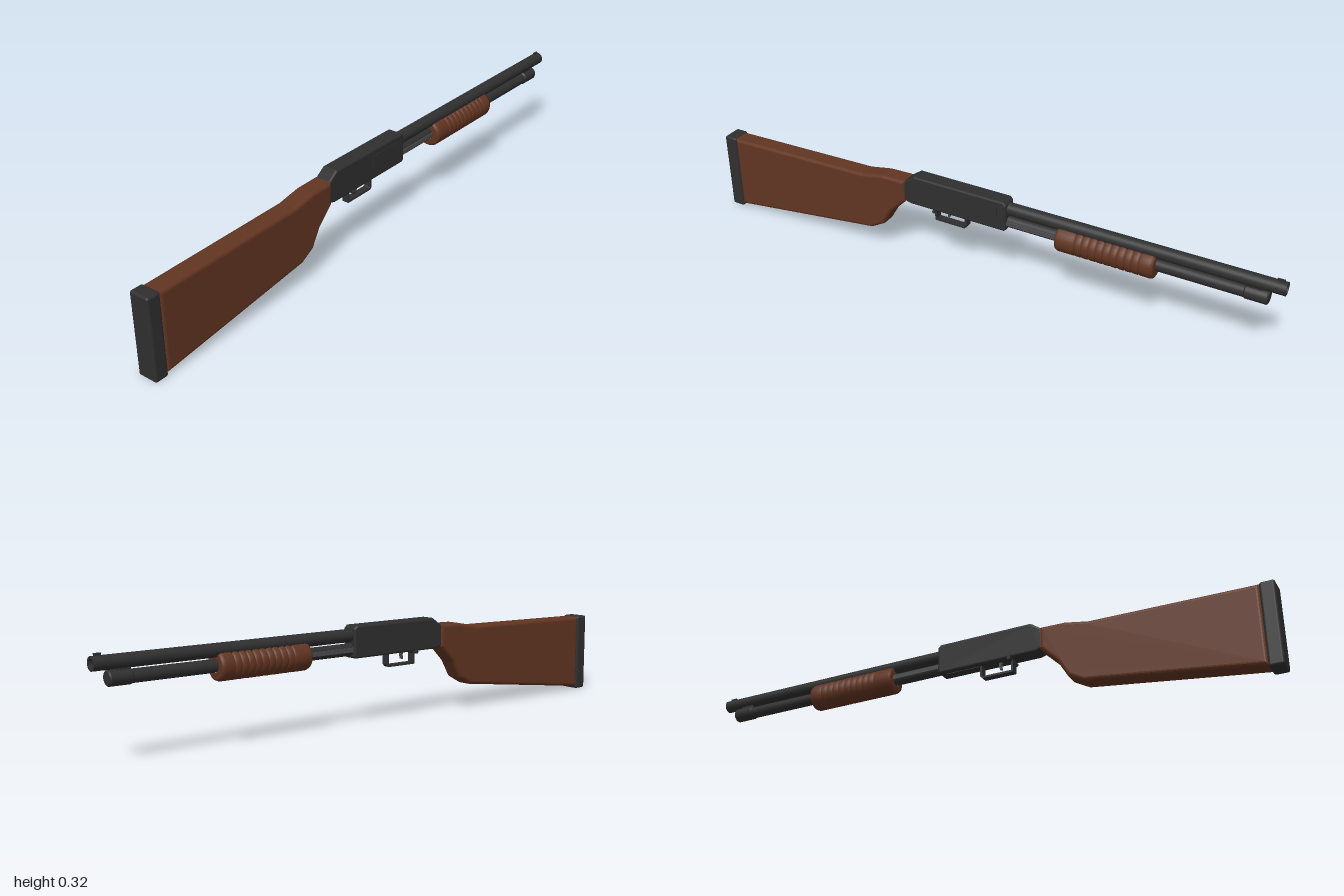
import * as THREE from 'three';
import { RoundedBoxGeometry } from 'three/addons/geometries/RoundedBoxGeometry.js';

export function createModel() {
  const root = new THREE.Group();
  const mat = (name, color) => Object.assign(new THREE.MeshStandardMaterial({ color }), { name });
  const steel = mat('dark steel', 0x2f2f30);
  const wood = mat('brown wood', 0x613421);
  const grey = mat('grey metal', 0x4c4c4e);

  const add = (name, geo, material, x = 0, y = 0, z = 0) => {
    const m = new THREE.Mesh(geo, material);
    m.name = name;
    m.position.set(x, y, z);
    root.add(m);
    return m;
  };

  // Side outline of [z, y] points, extruded across x with rounded edges
  const slab = (points, width, bevel, hole) => {
    const shape = new THREE.Shape(points.map(p => new THREE.Vector2(...p)));
    if (hole) shape.holes.push(new THREE.Path(hole.map(p => new THREE.Vector2(...p))));
    const geo = new THREE.ExtrudeGeometry(shape, {
      depth: width - 2 * bevel, bevelEnabled: bevel > 0, bevelThickness: bevel,
      bevelSize: bevel, bevelOffset: -bevel, bevelSegments: 4,
    });
    geo.translate(0, 0, -(width - 2 * bevel) / 2);
    return geo.rotateY(-Math.PI / 2);
  };

  // Solid of revolution along z from [radius, z] points
  const turned = points =>
    new THREE.LatheGeometry(points.map(p => new THREE.Vector2(...p)), 32).rotateX(Math.PI / 2);

  // Tube from zBack to zFront with lightly chamfered ends
  const rod = (r, zBack, zFront, c = 0.004) => turned([
    [0, zFront], [r - c, zFront], [r - c, zFront], [r, zFront + c], [r, zFront + c],
    [r, zBack - c], [r, zBack - c], [r - c, zBack], [r - c, zBack], [0, zBack],
  ]);

  // Shoulder stock and butt pad
  add('stock', slab([
    [0.955, 0.008], [0.955, 0.27], [0.42, 0.281], [0.34, 0.296], [0.255, 0.298],
    [0.255, 0.222], [0.312, 0.165], [0.345, 0.108], [0.395, 0.08],
  ], 0.068, 0.012), wood);
  add('buttPad', new RoundedBoxGeometry(0.07, 0.273, 0.047, 4, 0.008), steel, 0, 0.1365, 0.9765);

  // Receiver with a sloped rear
  add('receiver', slab([
    [0.262, 0.225], [0.262, 0.294], [0.222, 0.322], [-0.105, 0.322], [-0.115, 0.312],
    [-0.115, 0.224], [-0.108, 0.218], [0.235, 0.218],
  ], 0.057, 0.007), steel);
  add('ejectionPort', new THREE.BoxGeometry(0.003, 0.036, 0.13), steel, 0.0285, 0.283, -0.02);
  add('loadingPort', new THREE.BoxGeometry(0.026, 0.003, 0.12), steel, 0, 0.2175, -0.03);

  // Trigger group
  add('triggerGuard', slab(
    [[0.152, 0.174], [0.152, 0.225], [0.034, 0.225], [0.034, 0.182], [0.042, 0.174]],
    0.024, 0,
    [[0.145, 0.181], [0.045, 0.181], [0.041, 0.185], [0.041, 0.22], [0.145, 0.22]],
  ), steel);
  add('trigger', slab(
    [[0.1, 0.225], [0.112, 0.225], [0.106, 0.208], [0.108, 0.194], [0.102, 0.194], [0.099, 0.208]],
    0.01, 0), grey);
  add('safetyPin', new THREE.CylinderGeometry(0.006, 0.006, 0.064, 16).rotateZ(Math.PI / 2),
    steel, 0, 0.216, 0.145);

  // Barrel with an open muzzle and a small bead sight
  add('barrel', turned([
    [0.014, -0.95], [0.014, -1], [0.014, -1], [0.021, -1], [0.021, -1],
    [0.021, -0.1], [0.021, -0.1], [0, -0.1],
  ]), steel, 0, 0.29, 0);
  add('boreEnd', new THREE.CircleGeometry(0.0145, 24).rotateY(Math.PI), steel, 0, 0.29, -0.952);
  add('frontSight', new THREE.BoxGeometry(0.005, 0.01, 0.022), steel, 0, 0.313, -0.98);

  // Magazine tube, end cap and the clamp joining it to the barrel
  add('magazineTube', rod(0.02, -0.1, -0.93), steel, 0, 0.245, 0);
  add('magazineCap', rod(0.0235, -0.882, -0.955), steel, 0, 0.246, 0);
  add('barrelClamp', new RoundedBoxGeometry(0.022, 0.04, 0.05, 2, 0.004), steel, 0, 0.265, -0.91);

  // Action bars from the receiver to the fore-end
  for (const side of [-1, 1])
    add('actionBar', new THREE.BoxGeometry(0.004, 0.014, 0.2), grey, side * 0.02, 0.246, -0.2);

  // Ribbed sliding fore-end
  const grip = [[0.019, -0.613], [0.036, -0.613], [0.042, -0.61], [0.045, -0.602]];
  const ribs = 10, start = -0.572, pitch = 0.0235;
  for (let i = 0; i < ribs; i++) {
    const z = start + i * pitch;
    grip.push([0.045, z], [0.041, z + 0.003], [0.041, z + 0.006], [0.045, z + 0.009]);
  }
  grip.push([0.045, -0.3], [0.042, -0.292], [0.036, -0.289], [0.019, -0.289]);
  add('foreEnd', turned(grip), wood, 0, 0.243, 0);

  return root;
}
